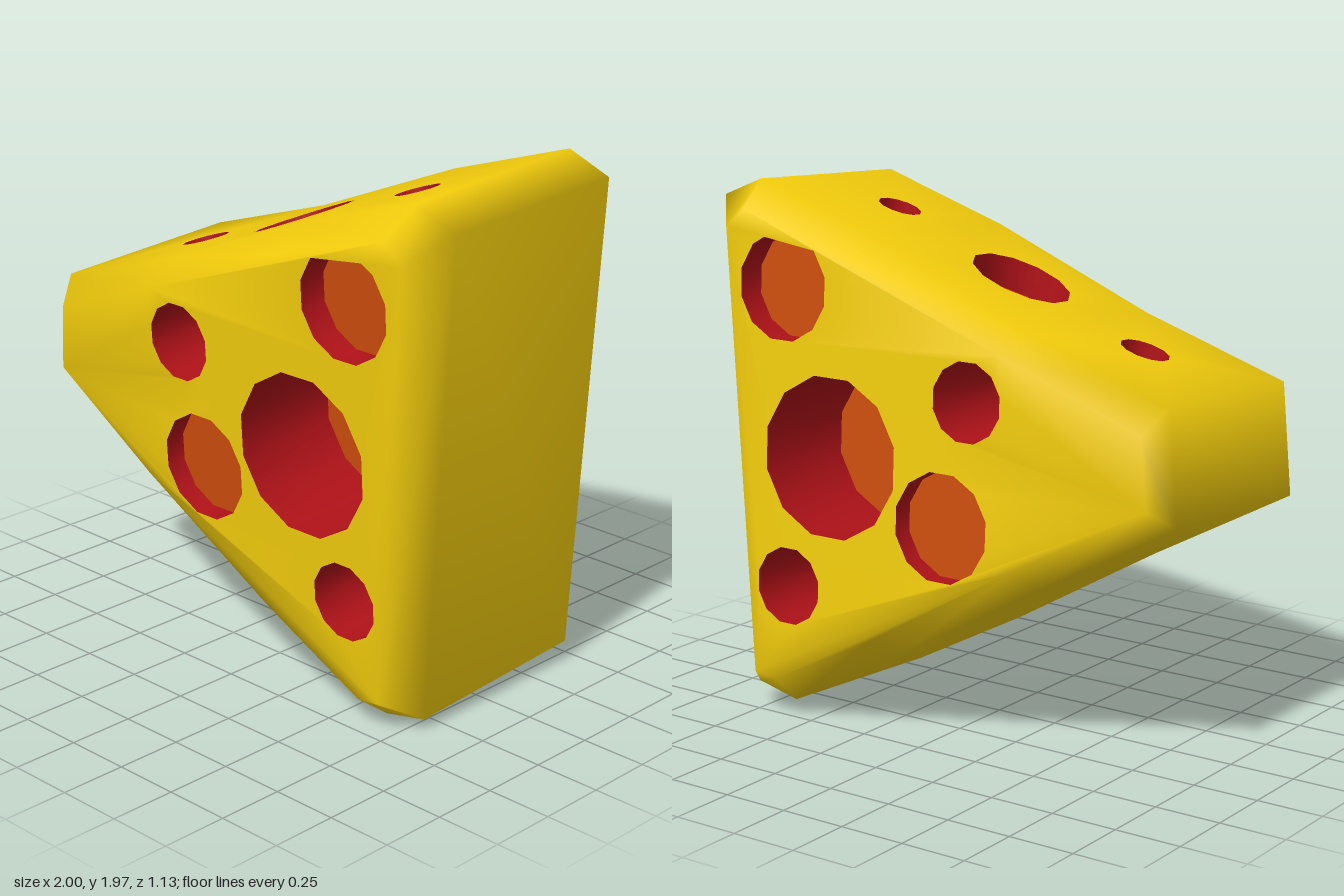
import * as THREE from 'three';
import { mergeVertices } from 'three/addons/utils/BufferGeometryUtils.js';

const V2 = (x, y) => new THREE.Vector2(x, y);
const V3 = (x, y, z) => new THREE.Vector3(x, y, z);

// Wedge outline at full size, and the smaller outline of the bevelled faces
const outer = [[-1, 0.92], [-0.45, 0.62], [0.15, 0.27], [0.62, 0.02], [0.8, 0.06],
  [1, 1.88], [0.83, 1.95], [0.3, 1.78], [-0.37, 1.51], [-0.95, 1.325]];
const inner = [[-0.93, 0.98], [-0.42, 0.7], [0.18, 0.35], [0.61, 0.13], [0.71, 0.14],
  [0.88, 1.78], [0.8, 1.85], [0.3, 1.7], [-0.35, 1.44], [-0.9, 1.23]];
const SIDE_Z = 0.385;
const faceZ = (x) => THREE.MathUtils.mapLinear(Math.min(x, -0.4), -0.93, -0.4, 0.475, 0.517);

// Holes in the two big faces: x, y, radius, depth
const faceHoles = [[0.61, 1.585, 0.2, 0.11], [-0.215, 1.265, 0.145, 0.45], [0.38, 0.99, 0.3, 0.43],
  [-0.12, 0.81, 0.2, 0.08], [0.56, 0.49, 0.145, 0.45]];
// Holes in the three sloping top panels: x, z, radius, depth, keyed by outline edge
const topHoles = { 6: [0.515, 0.04, 0.08, 0.27], 7: [-0.055, 0.025, 0.18, 0.12], 8: [-0.6, 0.01, 0.088, 0.15] };

const ring = (x, y, r) => Array.from({ length: 12 }, (_, i) => {
  const a = (i + 0.5) * Math.PI / 6;
  return V2(x + r * Math.cos(a), y + r * Math.sin(a));
});

function smoothGeometry(points) {
  const g = mergeVertices(new THREE.BufferGeometry().setFromPoints(points), 1e-4);
  g.computeVertexNormals();
  return g;
}

// Triangles of a flat outline with holes, carried into space by a rule
function patch(contour, holes, map) {
  const shape = new THREE.Shape(contour);
  shape.holes = holes.map((h) => new THREE.Path(h));
  const g = new THREE.ShapeGeometry(shape).toNonIndexed();
  const p = g.attributes.position;
  return Array.from({ length: p.count }, (_, i) => map(p.getX(i), p.getY(i)));
}

// Mirror triangles to the back, keeping them facing outward
const mirrorZ = (points) => points.map((p) => V3(p.x, p.y, -p.z)).reverse();

export function createModel() {
  const cheese = new THREE.MeshStandardMaterial({ color: 0xf2cc0c });
  const wallColor = new THREE.MeshStandardMaterial({ color: 0xb01218 });
  const floorColor = new THREE.MeshStandardMaterial({ color: 0xcc4d0c });

  const model = new THREE.Group();
  model.name = 'cheeseWedge';
  const tilt = new THREE.Group();
  tilt.name = 'tiltedWedge';
  tilt.position.y = 1;
  tilt.rotation.x = 0.055;
  model.add(tilt);

  const add = (name, points, material) => {
    const mesh = new THREE.Mesh(smoothGeometry(points), material);
    mesh.name = name;
    mesh.position.y = -1;
    tilt.add(mesh);
  };

  // A pit sunk from a rim; the rim runs counter-clockwise seen from outside
  const addPit = (name, rim, sink) => {
    const wall = [], floor = [];
    const deep = rim.map((p) => p.clone().add(sink));
    rim.forEach((p, i) => {
      const j = (i + 1) % rim.length;
      wall.push(p, rim[j], deep[i], rim[j], deep[j], deep[i]);
      if (i > 0 && j > 0) floor.push(deep[0], deep[i], deep[j]);
    });
    add(name + 'Wall', wall, wallColor);
    add(name + 'Floor', floor, floorColor);
  };

  // Big front face with its holes, plus the bevel around it
  const onFace = (x, y) => V3(x, y, faceZ(x));
  const front = patch(inner.map((p) => V2(...p)), faceHoles.map(([x, y, r]) => ring(x, y, r)), onFace);
  const sides = [];
  outer.forEach((p, i) => {
    const j = (i + 1) % outer.length, q = outer[j];
    const a = V3(...p, SIDE_Z), b = V3(...q, SIDE_Z);
    const c = onFace(...inner[i]), d = onFace(...inner[j]);
    front.push(c, a, b, c, b, d);

    // Rim surface: plain strips, or a top panel with a hole
    const a2 = V3(...p, -SIDE_Z), b2 = V3(...q, -SIDE_Z);
    const hole = topHoles[i];
    if (!hole) {
      sides.push(a, a2, b, b, a2, b2);
      return;
    }
    const [x, z, r, depth] = hole;
    const slope = (q[1] - p[1]) / (q[0] - p[0]);
    const onTop = (u, v) => V3(u, p[1] + (u - p[0]) * slope, -v);
    const rim = ring(x, -z, r);
    const corners = [V2(q[0], -SIDE_Z), V2(p[0], -SIDE_Z), V2(p[0], SIDE_Z), V2(q[0], SIDE_Z)];
    sides.push(...patch(corners, [rim], onTop));
    addPit('topHole', rim.map((v) => onTop(v.x, v.y)), V3(slope, -1, 0).setLength(depth));
  });
  add('wedgeBody', [...front, ...mirrorZ(front), ...sides], cheese);

  // Matching pits on front and back
  for (const [x, y, r, depth] of faceHoles) {
    const rim = ring(x, y, r).map((v) => onFace(v.x, v.y));
    addPit('frontHole', rim, V3(0, 0, -depth));
    addPit('backHole', mirrorZ(rim), V3(0, 0, depth));
  }
  return model;
}
